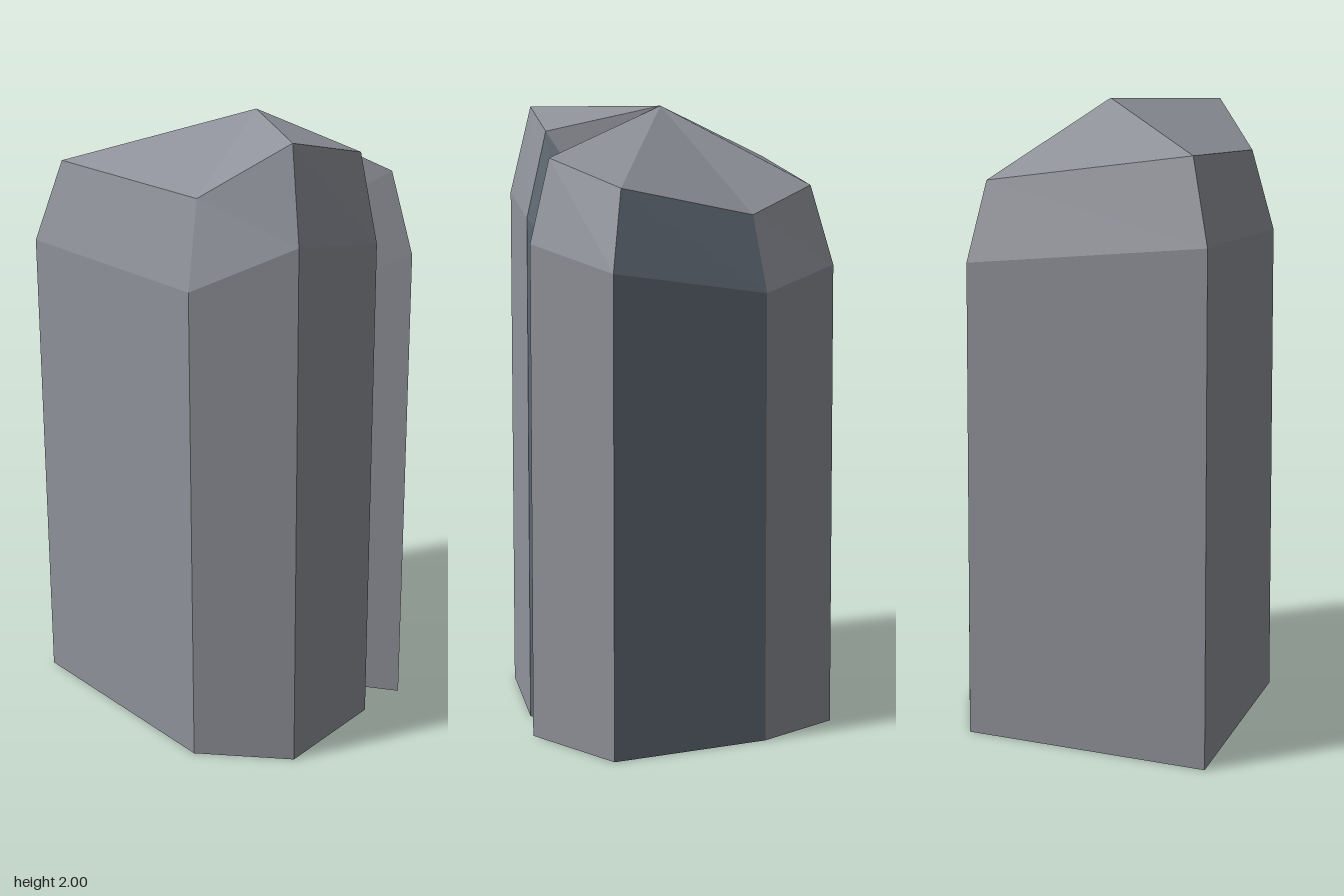
import * as THREE from 'three';

// Outline corners at the base, with the height of the matching shoulder: [x, z, shoulderY]
const OUTLINE = [
  [-0.5, -0.5, 1.835], [0.29, -0.5, 1.755], [0.415, -0.25, 1.67],
  [0.5, 0.25, 1.755], [0.25, 0.48, 1.84],
  [0.168, 0.356, 1.76], // notch
  [0.083, 0.475, 1.92], [-0.29, 0.5, 2.0], [-0.5, 0.25, 1.835],
];

// Rings from base to shoulder: [outline scale, share of shoulder height]
const RINGS = [[1, 0], [0.965, 0.86], [0.83, 1]];

const APEX = [0.005, 2, 0.02];
const BASE_CENTRE = [0.005, 0, 0.02];

// Sides made of darker slate: the one facing +x and the inner side of the notch
const DARK_SIDES = [2, 5];

function facetMesh(name, positions, color) {
  const geometry = new THREE.BufferGeometry();
  geometry.setAttribute('position', new THREE.Float32BufferAttribute(positions, 3));
  geometry.computeVertexNormals();
  const mesh = new THREE.Mesh(geometry, new THREE.MeshStandardMaterial({ color, flatShading: true }));
  mesh.name = name;
  return mesh;
}

export function createModel() {
  const rings = RINGS.map(([s, h]) => OUTLINE.map(([x, z, y]) => [x * s, y * h, z * s]));
  const base = rings[0], top = rings[rings.length - 1];
  const stone = [], slate = [];

  for (let i = 0; i < OUTLINE.length; i++) {
    const j = (i + 1) % OUTLINE.length;
    // Wall and bevel of each side
    const side = DARK_SIDES.includes(i) ? slate : stone;
    for (let k = 0; k < rings.length - 1; k++) {
      const lo = rings[k], hi = rings[k + 1];
      side.push(...lo[i], ...hi[i], ...hi[j]);
      side.push(...lo[i], ...hi[j], ...lo[j]);
    }
    // Faceted crown and flat base
    stone.push(...APEX, ...top[j], ...top[i]);
    stone.push(...BASE_CENTRE, ...base[i], ...base[j]);
  }

  const group = new THREE.Group();
  group.name = 'rock';
  group.add(
    facetMesh('rockPillar', stone, 0x8f929a),
    facetMesh('darkSides', slate, 0x66707b),
  );
  return group;
}
